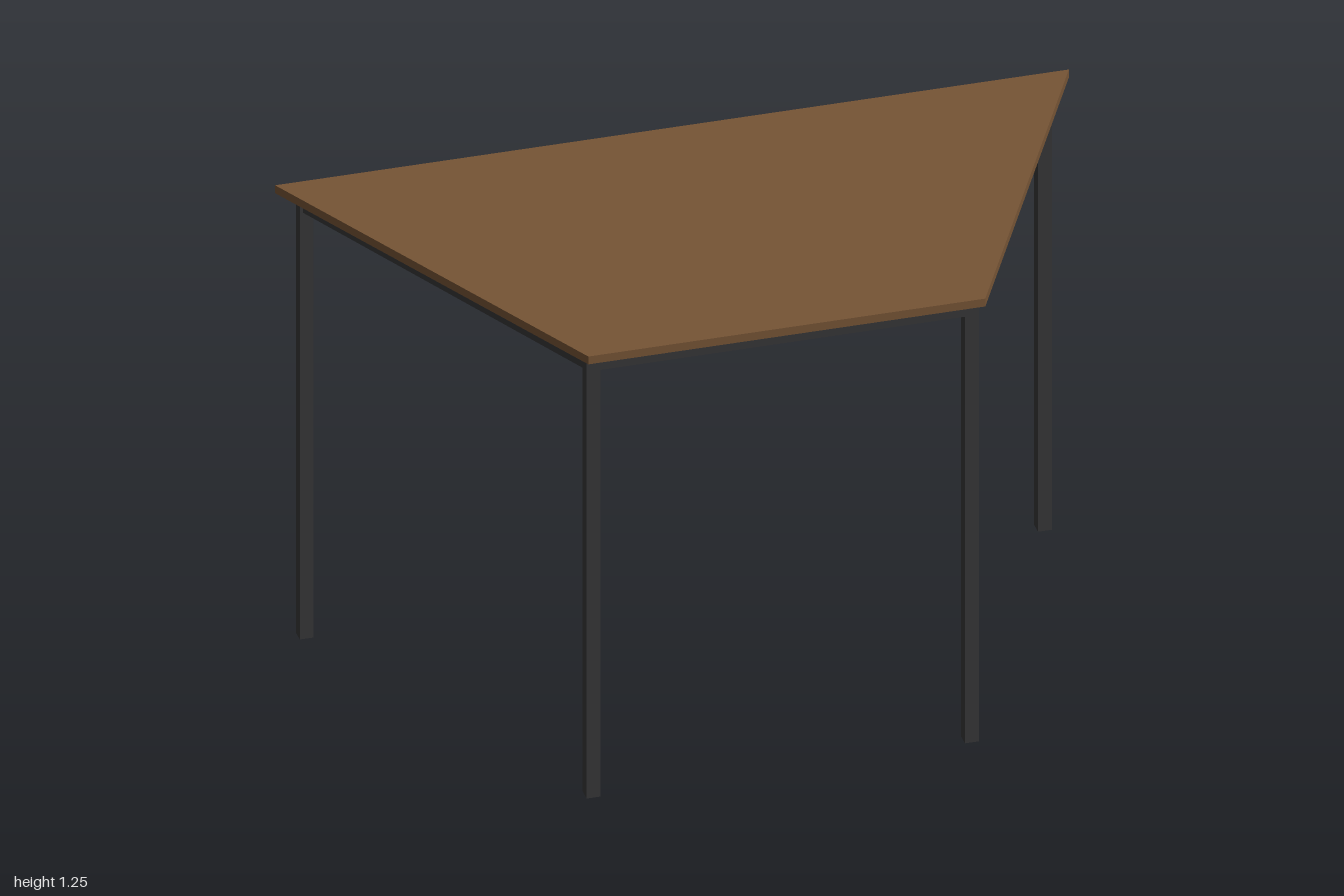
import * as THREE from 'three';

const TOP = 1.25, UNDER = 1.228, LEG = 0.035, RAIL_W = 0.033, RAIL_H = 0.033;

export function createModel() {
  const group = new THREE.Group();
  const wood = new THREE.MeshStandardMaterial({ name: 'brown wood', color: 0x765435 });
  const metal = new THREE.MeshStandardMaterial({ name: 'dark metal', color: 0x363637 });

  const add = (name, geometry, material) => {
    const mesh = new THREE.Mesh(geometry, material);
    mesh.name = name;
    group.add(mesh);
    return mesh;
  };

  // Trapezoid tabletop, long edge at the back
  const outline = new THREE.Shape(
    [[-1, -0.5], [1, -0.5], [0.5, 0.5], [-0.5, 0.5]].map(([x, z]) => new THREE.Vector2(x, z)));
  const slab = new THREE.ExtrudeGeometry(outline, { depth: TOP - UNDER, bevelEnabled: false });
  slab.rotateX(Math.PI / 2).translate(0, TOP, 0);
  add('tabletop', slab, wood);

  // Four square legs
  const corners = {
    backRight: [-0.936, -0.463], backLeft: [0.924, -0.463],
    frontLeft: [0.472, 0.463], frontRight: [-0.481, 0.463],
  };
  for (const [name, [x, z]] of Object.entries(corners)) {
    add(name + 'Leg', new THREE.BoxGeometry(LEG, UNDER, LEG), metal).position.set(x, UNDER / 2, z);
  }

  // Rails joining the legs, and a cross rail through the middle
  const rail = (name, [x1, z1], [x2, z2]) => {
    const dx = x2 - x1, dz = z2 - z1;
    const mesh = add(name, new THREE.BoxGeometry(Math.hypot(dx, dz), RAIL_H, RAIL_W), metal);
    mesh.position.set((x1 + x2) / 2, UNDER - RAIL_H / 2, (z1 + z2) / 2);
    mesh.rotation.y = -Math.atan2(dz, dx);
  };
  rail('backRail', corners.backRight, corners.backLeft);
  rail('leftRail', corners.backLeft, corners.frontLeft);
  rail('frontRail', corners.frontLeft, corners.frontRight);
  rail('rightRail', corners.frontRight, corners.backRight);
  rail('crossRail', [0, -0.463], [0, 0.463]);

  // Small fixing plates under the top
  for (const [x, z] of [[0.45, 0.44], [-0.46, 0.44], [0, 0.44], [0.02, 0]]) {
    add('fixingPlate', new THREE.BoxGeometry(0.06, 0.006, 0.05), metal).position.set(x, UNDER - 0.003, z);
  }
  return group;
}
